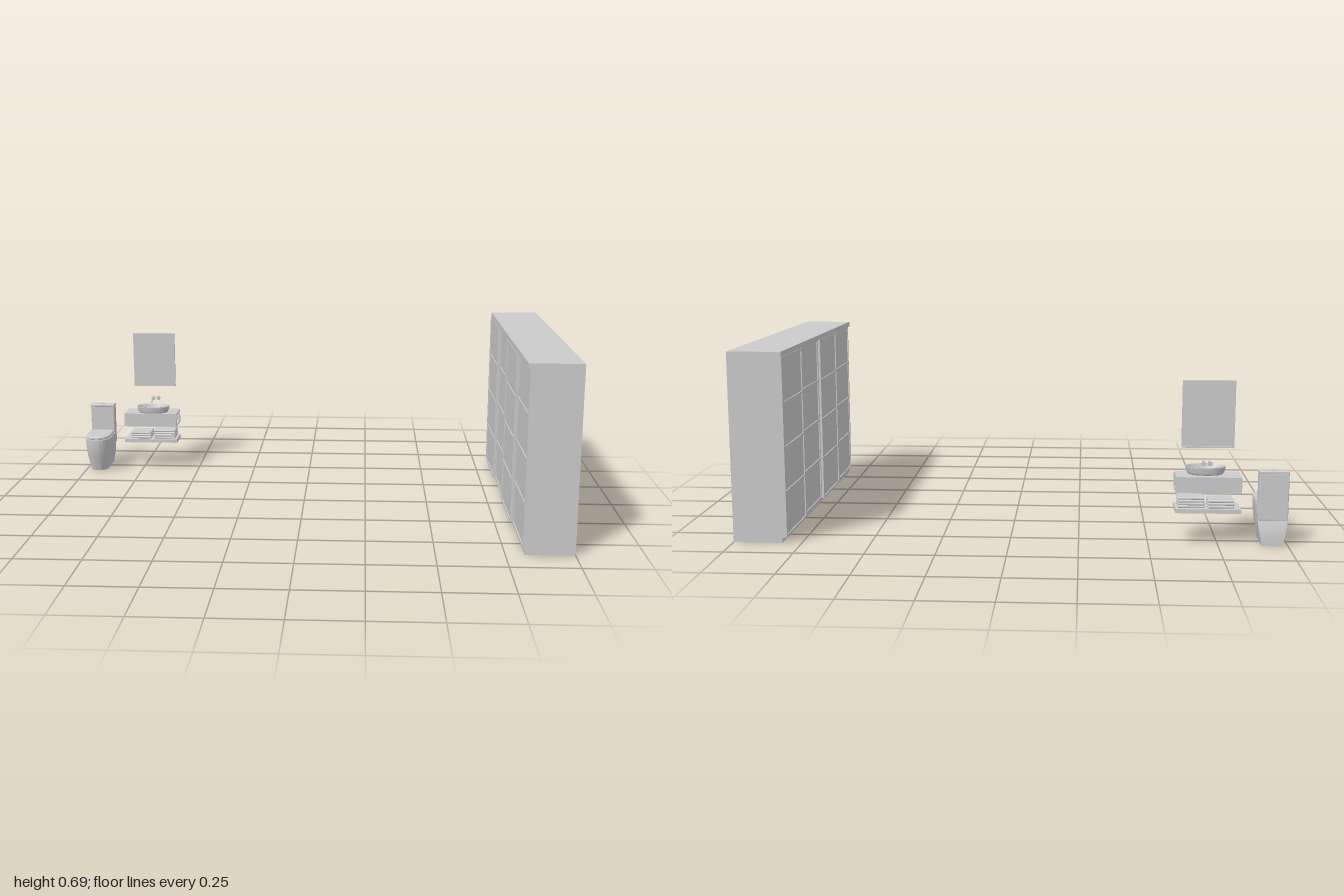
import * as THREE from 'three';
import { toCreasedNormals } from 'three/addons/utils/BufferGeometryUtils.js';
import { RoundedBoxGeometry } from 'three/addons/geometries/RoundedBoxGeometry.js';

const grey = new THREE.MeshStandardMaterial({ color: 0xcccccc, side: THREE.DoubleSide });

function add(parent, name, geometry, x = 0, y = 0, z = 0) {
  const mesh = new THREE.Mesh(geometry, grey);
  mesh.name = name;
  mesh.position.set(x, y, z);
  parent.add(mesh);
  return mesh;
}

// Box given by its limits on each axis
function box(parent, name, [x0, x1], [y0, y1], [z0, z1], radius = 0) {
  const size = [x1 - x0, y1 - y0, z1 - z0];
  const geometry = radius ? new RoundedBoxGeometry(...size, 2, radius) : new THREE.BoxGeometry(...size);
  return add(parent, name, geometry, (x0 + x1) / 2, (y0 + y1) / 2, (z0 + z1) / 2);
}

function group(parent, name) {
  const g = new THREE.Group();
  g.name = name;
  parent.add(g);
  return g;
}

// D-shaped outline: straight back, straight sides, round front
function dOutline(halfWidth, back, front, steps = 24) {
  const points = [[halfWidth, back]];
  const centre = front - halfWidth;
  for (let i = 0; i <= steps; i++) {
    const a = (i / steps) * Math.PI;
    points.push([halfWidth * Math.cos(a), centre + halfWidth * Math.sin(a)]);
  }
  points.push([-halfWidth, back]);
  return points;
}

// Skin through D-shaped sections [y, halfWidth, back, front], capped at both ends
function dLoft(sections) {
  const positions = [], index = [];
  const rings = sections.map(([y, w, b, f]) => dOutline(w, b, f).map(([x, z]) => [x, y, z]));
  const n = rings[0].length;
  rings.forEach(ring => ring.forEach(p => positions.push(...p)));
  for (let r = 0; r < rings.length - 1; r++) {
    for (let i = 0; i < n; i++) {
      const a = r * n + i, b = r * n + (i + 1) % n;
      index.push(a, a + n, b, b, a + n, b + n);
    }
  }
  const top = (rings.length - 1) * n;
  for (let i = 1; i < n - 1; i++) {
    index.push(0, i, i + 1, top, top + i + 1, top + i);
  }
  const geometry = new THREE.BufferGeometry();
  geometry.setAttribute('position', new THREE.Float32BufferAttribute(positions, 3));
  geometry.setIndex(index);
  return toCreasedNormals(geometry, 0.6);
}

function buildWardrobe(root) {
  const g = group(root, 'wardrobe');
  const ends = [-0.62, 0.62];
  box(g, 'topPanel', [0.805, 1], [0.675, 0.695], ends);
  box(g, 'plinth', [0.82, 1], [0, 0.018], ends);
  box(g, 'backPanel', [0.98, 0.99], [0.018, 0.675], [-0.612, 0.612]);
  for (const s of [-1, 1]) {
    const z = [s * 0.62, s * 0.612].sort((a, b) => a - b);
    box(g, 'sidePanel', [0.812, 1], [0.018, 0.675], z);
  }
  // Four sliding doors on two tracks, each with four panels
  const y0 = 0.02, y1 = 0.675, rail = 0.008, stile = 0.01;
  for (let d = 0; d < 4; d++) {
    const door = group(g, 'slidingDoor');
    const x = d % 2 ? 0.812 : 0.803;
    const z0 = -0.62 + d * 0.31, z1 = z0 + 0.31;
    box(door, 'doorPanel', [x + 0.004, x + 0.008], [y0, y1], [z0 + 0.002, z1 - 0.002]);
    for (const z of [z0, z1 - stile]) {
      box(door, 'doorStile', [x, x + 0.009], [y0, y1], [z, z + stile]);
    }
    for (let r = 0; r <= 4; r++) {
      const y = y0 + (r / 4) * (y1 - y0 - rail);
      box(door, 'doorRail', [x, x + 0.009], [y, y + rail], [z0 + stile, z1 - stile]);
    }
  }
}

function buildToilet(root) {
  const g = group(root, 'toilet');
  g.position.x = -0.944;
  add(g, 'bowl', dLoft([
    [0, 0.038, -0.565, -0.408],
    [0.03, 0.043, -0.565, -0.398],
    [0.065, 0.05, -0.56, -0.386],
    [0.1, 0.054, -0.55, -0.377],
    [0.13, 0.055, -0.54, -0.373],
    [0.146, 0.055, -0.535, -0.372],
  ]));
  add(g, 'seatLid', dLoft([
    [0.148, 0.053, -0.518, -0.375],
    [0.15, 0.055, -0.518, -0.372],
    [0.157, 0.055, -0.518, -0.372],
    [0.161, 0.051, -0.516, -0.377],
  ]));
  // Cistern, narrowing below into the pedestal
  box(g, 'cistern', [-0.052, 0.054], [0.095, 0.268], [-0.57, -0.53], 0.004);
  box(g, 'cisternLid', [-0.053, 0.055], [0.264, 0.275], [-0.57, -0.528], 0.003);
  box(g, 'seatHinge', [-0.045, 0.045], [0.14, 0.156], [-0.535, -0.516]);
  add(g, 'flushButton', new THREE.CylinderGeometry(0.008, 0.008, 0.003, 20), 0, 0.2755, -0.549);
}

function buildVanity(root) {
  const g = group(root, 'vanity');
  const [x0, x1, y0, y1, z0, z1, t] = [-0.83, -0.595, 0.192, 0.25, -0.57, -0.46, 0.007];
  // Hollow cabinet, open at its left end
  box(g, 'countertop', [x0, x1], [y1 - t, y1], [z0, z1]);
  box(g, 'cabinetFloor', [x0, x1], [y0, y0 + t], [z0, z1]);
  box(g, 'cabinetFront', [x0, x1], [y0 + t, y1 - t], [z1 - t, z1]);
  box(g, 'cabinetBack', [x0, x1], [y0 + t, y1 - t], [z0, z0 + t]);
  box(g, 'cabinetEnd', [x0, x0 + t], [y0 + t, y1 - t], [z0 + t, z1 - t]);
  box(g, 'cabinetDivider', [-0.66, -0.653], [y0 + t, y1 - t], [z0 + t, z1 - t]);
  box(g, 'lowerShelf', [x0, x1], [0.118, 0.133], [z0, z1]);

  // Folded towels
  for (const [a, b, count] of [[-0.805, -0.713, 3], [-0.7, -0.605, 4]]) {
    for (let i = 0; i < count; i++) {
      const y = 0.133 + i * 0.0102;
      box(g, 'towel', [a, b], [y, y + 0.0098], [-0.555, -0.472], 0.004);
    }
  }

  // Oval basin
  const profile = [[0, 0], [0.85, 0], [0.93, 0.008], [0.97, 0.02], [1, 0.025], [1, 0.029],
    [0.9, 0.029], [0.86, 0.02], [0.72, 0.009], [0.4, 0.005], [0, 0.004]];
  const basin = add(g, 'basin',
    toCreasedNormals(new THREE.LatheGeometry(profile.map(p => new THREE.Vector2(...p)), 48), 0.6),
    -0.705, 0.25, -0.503);
  basin.scale.set(0.073, 1, 0.045);
  add(g, 'drain', new THREE.CylinderGeometry(0.006, 0.006, 0.002, 20), -0.705, 0.255, -0.503);

  // Wall tap: spout and lever on round plates
  const tap = group(g, 'tap');
  for (const x of [-0.715, -0.692]) {
    add(tap, 'tapPlate', new THREE.CylinderGeometry(0.009, 0.009, 0.004, 24), x, 0.299, -0.568).rotation.x = Math.PI / 2;
  }
  const spoutPath = new THREE.CatmullRomCurve3([[0.299, -0.568], [0.299, -0.535], [0.297, -0.522], [0.288, -0.519]]
    .map(([y, z]) => new THREE.Vector3(-0.715, y, z)));
  add(tap, 'spout', new THREE.TubeGeometry(spoutPath, 20, 0.004, 12));
  add(tap, 'leverBase', new THREE.CylinderGeometry(0.005, 0.005, 0.018, 16), -0.692, 0.299, -0.559).rotation.x = Math.PI / 2;
  box(tap, 'lever', [-0.694, -0.69], [0.297, 0.312], [-0.553, -0.549]);
}

function buildMirror(root) {
  const g = group(root, 'mirror');
  const [x0, x1, y0, y1, t] = [-0.798, -0.612, 0.357, 0.598, 0.006];
  box(g, 'mirrorGlass', [x0, x1], [y0, y1], [-0.562, -0.559]);
  // Backing frame set behind the glass
  for (const x of [x0, x1 - t]) box(g, 'frameSide', [x, x + t], [y0, y1], [-0.57, -0.562]);
  for (const y of [y0, y1 - t]) box(g, 'frameRail', [x0 + t, x1 - t], [y, y + t], [-0.57, -0.562]);
}

export function createModel() {
  const root = new THREE.Group();
  root.name = 'bathroomAndWardrobe';
  buildWardrobe(root);
  buildToilet(root);
  buildVanity(root);
  buildMirror(root);
  return root;
}
